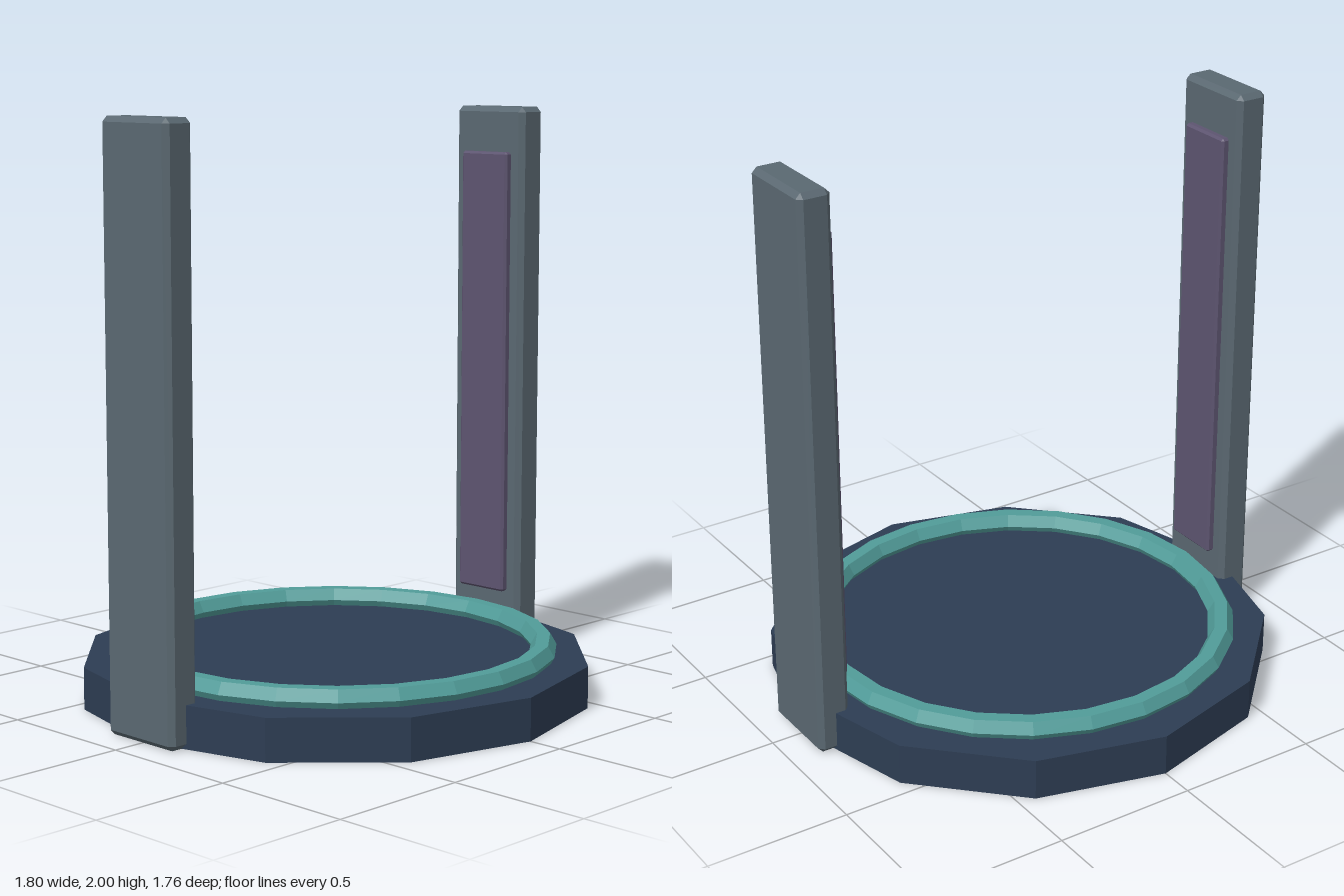
import * as THREE from 'three';
import { ConvexGeometry } from 'three/addons/geometries/ConvexGeometry.js';

const paint = (color) => new THREE.MeshStandardMaterial({ color, flatShading: true });

// Box with every edge and corner cut flat by c
function chamferBox(w, h, d, c) {
  const points = [];
  for (const sx of [-1, 1]) for (const sy of [-1, 1]) for (const sz of [-1, 1]) {
    for (let axis = 0; axis < 3; axis++) {
      const inset = [c, c, c];
      inset[axis] = 0;
      points.push(new THREE.Vector3(
        sx * (w / 2 - inset[0]), sy * (h / 2 - inset[1]), sz * (d / 2 - inset[2])));
    }
  }
  return new ConvexGeometry(points);
}

export function createModel() {
  const model = new THREE.Group();
  const add = (name, geometry, material, x, y, z) => {
    const mesh = new THREE.Mesh(geometry, material);
    mesh.name = name;
    mesh.position.set(x, y, z);
    model.add(mesh);
    return mesh;
  };

  // Twelve-sided platform
  add('base', new THREE.CylinderGeometry(0.88, 0.88, 0.145, 12), paint(0x2d3d53), 0, 0.0725, 0);

  // Raised ring, partly sunk into the platform
  const ring = add('ring', new THREE.TorusGeometry(0.72, 0.045, 6, 24), paint(0x519c99), 0, 0.167, 0);
  ring.rotation.x = Math.PI / 2;

  // Posts with inset panels on their inner faces
  const postGeometry = chamferBox(0.118, 2, 0.314, 0.018);
  const panelGeometry = chamferBox(0.05, 1.595, 0.21, 0.008);
  const postMaterial = paint(0x5a6871);
  const panelMaterial = paint(0x5d5470);
  for (const [side, s] of [['left', 1], ['right', -1]]) {
    add(side + 'Post', postGeometry, postMaterial, s * 0.842, 1, 0);
    add(side + 'Panel', panelGeometry, panelMaterial, s * 0.782, 1.0425, 0);
  }
  return model;
}
